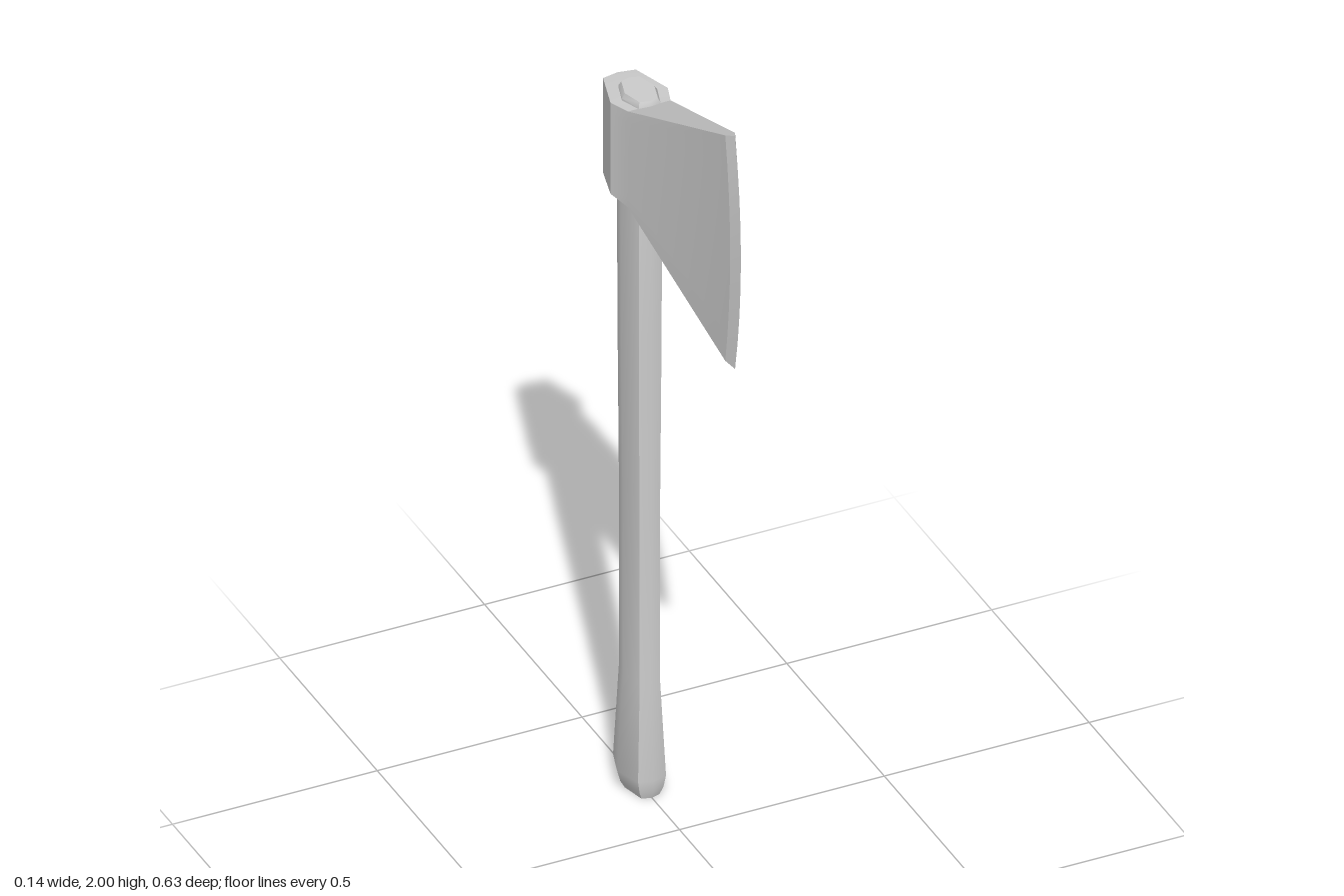
import * as THREE from 'three';
import { toCreasedNormals } from 'three/addons/utils/BufferGeometryUtils.js';

const material = new THREE.MeshStandardMaterial({ color: 0xcccccc });
const HANDLE_Z = -0.205;

// Skin a stack of mirrored closed rings (bottom to top), each starting at the front point.
function skin(rings, crease) {
  const n = rings[0].length;
  const index = [];
  const quad = (a, b, c, d) => index.push(a, b, c, a, c, d);
  for (let i = 0; i < rings.length - 1; i++) {
    for (let j = 0; j < n; j++) {
      const a = i * n + j, b = i * n + (j + 1) % n;
      quad(a, b, b + n, a + n);
    }
  }
  // End caps: strips joining each point to its mirror twin
  const top = (rings.length - 1) * n;
  for (let k = 0; k < n / 2; k++) {
    const a = k, b = k + 1, c = n - k - 1, d = (n - k) % n;
    if (a === d) {
      index.push(top + a, top + b, top + c, a, c, b);
    } else if (b === c) {
      index.push(top + a, top + b, top + d, a, d, b);
    } else {
      quad(top + a, top + b, top + c, top + d);
      quad(a, d, c, b);
    }
  }
  const geometry = new THREE.BufferGeometry();
  geometry.setAttribute('position', new THREE.Float32BufferAttribute(rings.flat(2), 3));
  geometry.setIndex(index);
  return toCreasedNormals(geometry, crease);
}

// Flattened octagon: half width in x, half depth in z
function octagon(y, w, d) {
  const unit = [[0, 1], [0.62, 0.88], [1, 0], [0.62, -0.88], [0, -1], [-0.62, -0.88], [-1, 0], [-0.62, 0.88]];
  return unit.map(([x, z]) => [x * w, y, HANDLE_Z + z * d]);
}

function part(name, geometry) {
  const mesh = new THREE.Mesh(geometry, material);
  mesh.name = name;
  return mesh;
}

function createHandle() {
  // y, half width, half depth
  const profile = [
    [0, 0.036, 0.064], [0.02, 0.047, 0.07], [0.05, 0.055, 0.073], [0.3, 0.04, 0.06],
    [0.8, 0.041, 0.06], [1.2, 0.045, 0.062], [1.6, 0.046, 0.064], [1.7, 0.043, 0.06],
    [1.82, 0.043, 0.059], [1.832, 0.036, 0.053],
  ];
  return part('handle', skin(profile.map((p) => octagon(...p)), 0.7));
}

function createHead() {
  // z, half width, bottom y, top y, forward bulge at mid height
  const stations = [
    [0.285, 0, 1.385, 2.0, 0.03],
    [0.26, 0.012, 1.395, 1.99, 0.025],
    [-0.155, 0.052, 1.565, 1.818, 0],
    [-0.207, 0.07, 1.575, 1.815, 0],
    [-0.308, 0.04, 1.562, 1.812, 0],
    [-0.318, 0, 1.575, 1.81, 0],
  ];
  const rows = 8;
  const rings = [];
  for (let i = 0; i <= rows; i++) {
    const t = i / rows;
    const side = stations.map(([z, w, low, high, bulge]) =>
      [w, low + (high - low) * t, z + bulge * (1 - (2 * t - 1) ** 2)]);
    const mirrored = side.slice(1, -1).reverse().map(([x, y, z]) => [-x, y, z]);
    rings.push([...side, ...mirrored]);
  }
  return part('axeHead', skin(rings, 0.25));
}

export function createModel() {
  const group = new THREE.Group();
  group.name = 'axe';
  group.add(createHandle(), createHead());
  return group;
}
